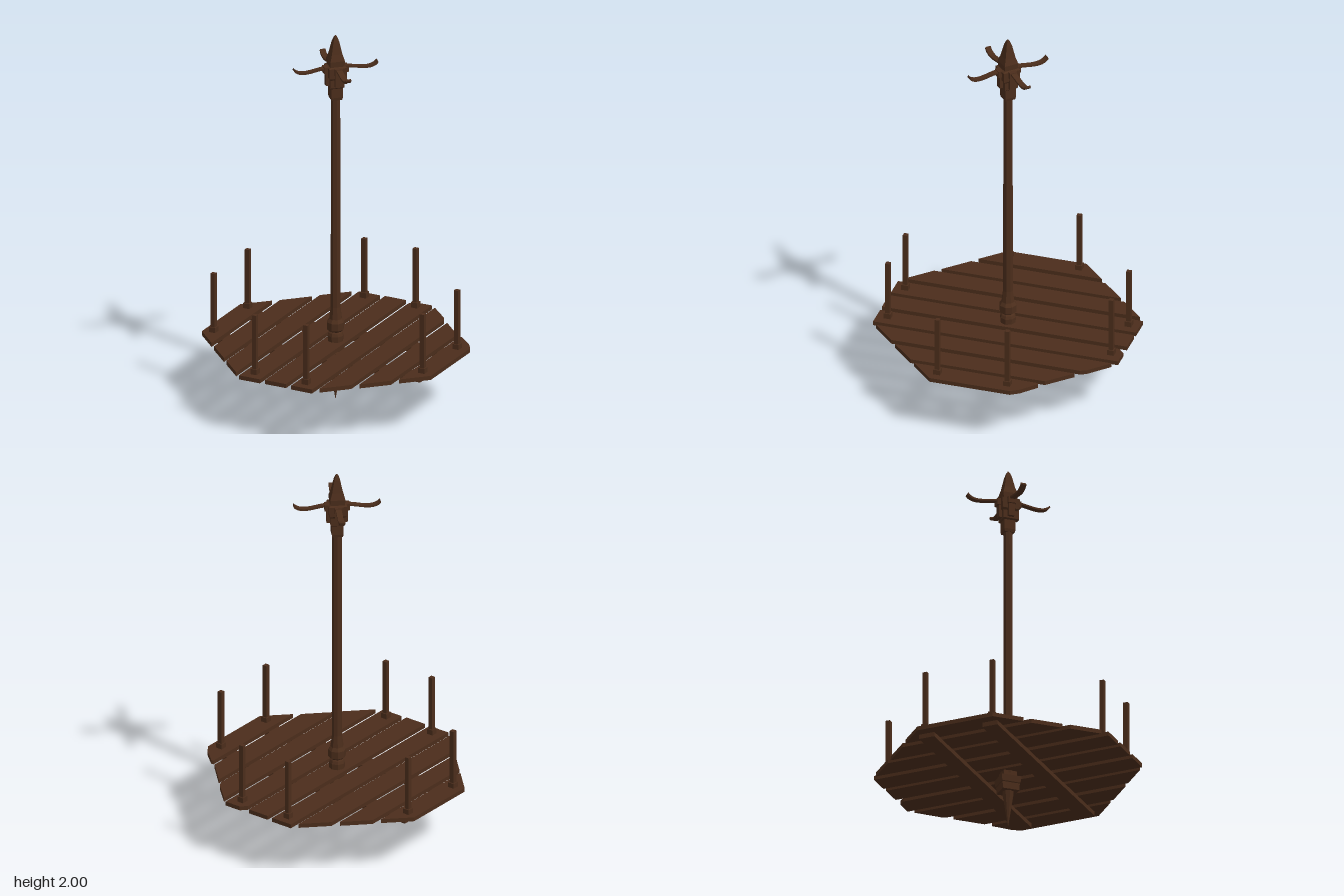
import * as THREE from 'three';

const wood = new THREE.MeshStandardMaterial({ color: 0x4b2d1b, flatShading: true, side: THREE.DoubleSide });

export function createModel() {
  const root = new THREE.Group();

  const add = (name, geometry, parent = root) => {
    const mesh = new THREE.Mesh(geometry, wood);
    mesh.name = name;
    parent.add(mesh);
    return mesh;
  };
  const box = (name, w, h, d, x, y, z, parent) => {
    const mesh = add(name, new THREE.BoxGeometry(w, h, d), parent);
    mesh.position.set(x, y, z);
    return mesh;
  };
  // Turned profile given as [radius, height] pairs, from bottom to top
  const turned = (name, profile, sides = 4) =>
    add(name, new THREE.LatheGeometry(profile.map(([r, y]) => new THREE.Vector2(r, y)), sides));

  // Octagonal deck of nine planks; a few back ends are chipped
  const reach = (x) => Math.min(0.655, 0.87 - Math.abs(x));
  const chippedBack = {
    5: [[0.21, -0.655], [0.12, -0.655], [0.09, -0.625]],
    6: [[0.36, -0.5], [0.345, -0.53], [0.24, -0.63]],
    8: [[0.66, -0.22], [0.63, -0.265], [0.55, -0.335], [0.54, -0.33]],
  };
  const deck = new THREE.Group();
  deck.name = 'deck';
  root.add(deck);
  for (let i = 0; i < 9; i++) {
    const x0 = -0.66 + i * 0.15, x1 = x0 + 0.12;
    const back = chippedBack[i] ?? [[x1, -reach(x1)], [x0, -reach(x0)]];
    const outline = [[x0, reach(x0)], [x1, reach(x1)], ...back];
    // Shape y becomes -z once the plank is laid flat
    const shape = new THREE.Shape(outline.map(([x, z]) => new THREE.Vector2(x, -z)));
    const geometry = new THREE.ExtrudeGeometry(shape, { depth: 0.022, bevelEnabled: false });
    geometry.rotateX(-Math.PI / 2);
    add('plank', geometry, deck).position.y = i % 2 ? 0.301 : 0.303;
  }

  // Cross beams beneath the planks
  for (const z of [-0.18, 0.172]) box('beam', 1.21, 0.024, 0.084, -0.005, 0.29, z);

  // Eight railing posts with square feet
  for (const sx of [-1, 1]) for (const sz of [-1, 1]) {
    for (const [px, pz] of [[0.148, 0.597], [0.603, 0.187]]) {
      const post = new THREE.Group();
      post.name = 'railingPost';
      post.position.set(sx * px - 0.002, 0, sz * pz - 0.002);
      root.add(post);
      box('postFoot', 0.036, 0.03, 0.036, 0, 0.337, 0, post);
      box('postShaft', 0.024, 0.31, 0.024, 0, 0.49, 0, post);
    }
  }

  // Central pole
  const pole = add('pole', new THREE.CylinderGeometry(0.025, 0.026, 1.4, 8));
  pole.position.y = 1.0;

  // Collar where the pole meets the deck
  turned('collar', [
    [0.04, 0.29], [0.042, 0.355], [0.036, 0.37], [0.03, 0.376], [0.045, 0.388],
    [0.046, 0.428], [0.034, 0.446], [0.026, 0.51],
  ], 8);

  // Stepped plug and spike hanging below
  turned('lowerPlug', [
    [0, 0.195], [0.064, 0.195], [0.066, 0.232], [0.07, 0.236], [0.077, 0.27],
    [0.05, 0.272], [0.05, 0.31],
  ]);
  turned('lowerSpike', [[0, 0], [0.012, 0.07], [0.026, 0.16], [0.032, 0.2]], 8);

  // Diamond-section mast head with a pointed tip
  turned('mastHead', [
    [0, 1.65], [0.038, 1.65], [0.043, 1.665], [0.043, 1.715], [0.053, 1.722],
    [0.053, 1.765], [0.063, 1.775], [0.067, 1.83], [0.052, 1.835], [0.055, 1.865],
    [0.04, 1.9], [0.022, 1.965], [0.01, 1.99], [0, 2],
  ]);

  // Four curled hooks on the diagonal faces, each with a bracket
  const hookPath = new THREE.CatmullRomCurve3([
    [0.035, 1.828], [0.09, 1.82], [0.15, 1.81], [0.19, 1.812], [0.215, 1.824], [0.223, 1.834],
  ].map(([r, y]) => new THREE.Vector3(r, y, 0)));
  const spine = hookPath.getPoints(12);
  const hookShape = new THREE.Shape([
    ...spine.map((p) => new THREE.Vector2(p.x + 0.002, p.y - 0.005)),
    ...spine.slice().reverse().map((p) => new THREE.Vector2(p.x - 0.002, p.y + 0.005)),
  ]);
  const hookGeometry = new THREE.ExtrudeGeometry(hookShape, { depth: 0.03, bevelEnabled: false });
  hookGeometry.translate(0, 0, -0.015);
  for (let i = 0; i < 4; i++) {
    const arm = new THREE.Group();
    arm.name = 'hookArm';
    arm.rotation.y = Math.PI / 4 + i * Math.PI / 2;
    root.add(arm);
    add('hook', hookGeometry, arm);
    box('upperBracket', 0.03, 0.035, 0.042, 0.05, 1.815, 0, arm);
    box('lowerBracket', 0.022, 0.07, 0.032, 0.044, 1.765, 0, arm);
  }

  return root;
}
